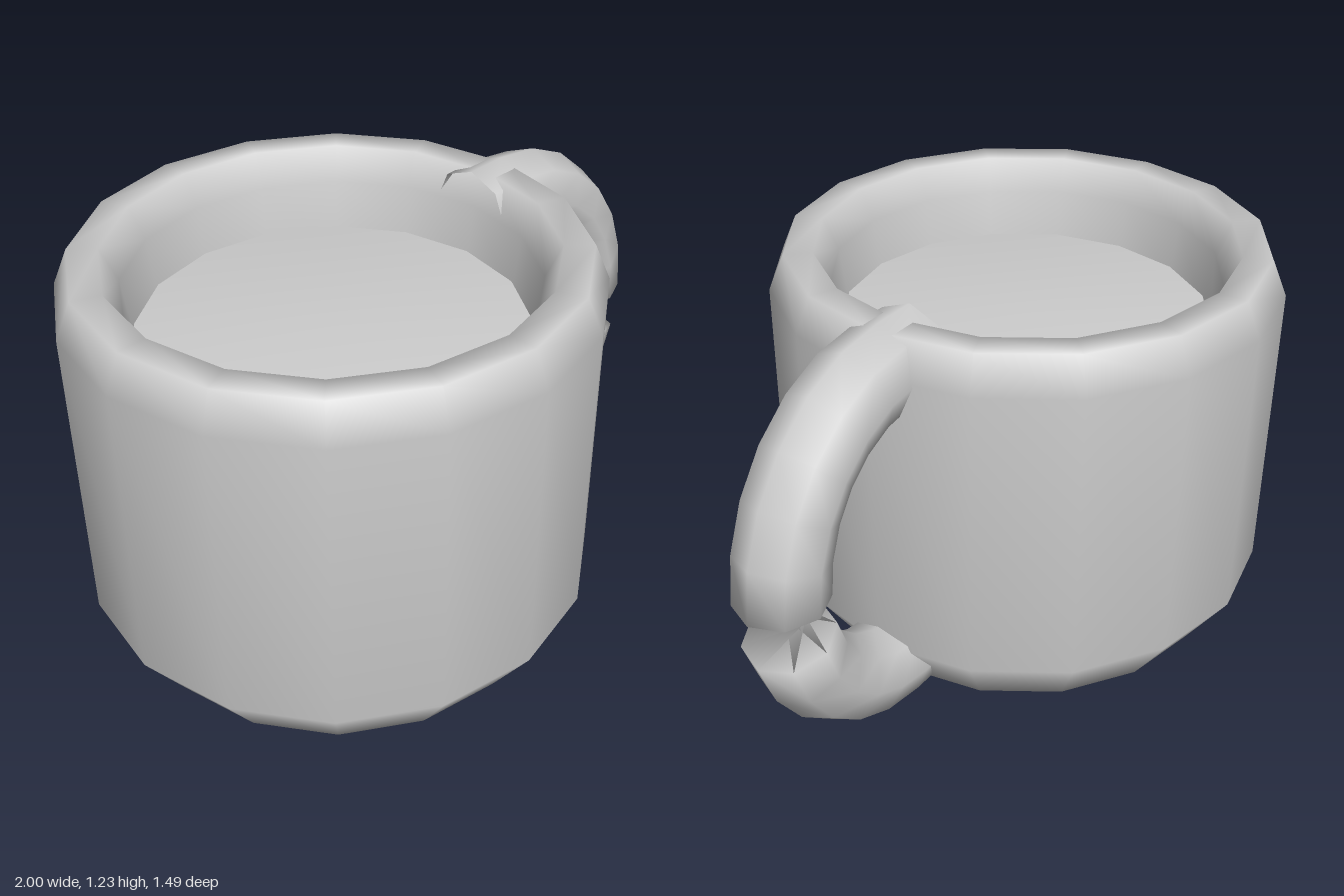
import * as THREE from 'three';

const CX = -0.255; // axis of the cup
const SIDES = 16;

function lathe(name, profile, material) {
  const points = profile.map(([r, y]) => new THREE.Vector2(r, y));
  const mesh = new THREE.Mesh(new THREE.LatheGeometry(points, SIDES), material);
  mesh.name = name;
  mesh.position.x = CX;
  return mesh;
}

// Octagonal tube along a half ellipse, with a half turn twist below its middle
function handleGeometry() {
  const N = 8, tube = 0.13, cx = 0.43, cy = 0.62, rx = 0.435, ry = 0.485;
  const rings = [{ x: 0.30, y: cy + ry, a: Math.PI / 2, shift: 0 }];
  for (let deg = 90; deg >= -90; deg -= 15) {
    const a = THREE.MathUtils.degToRad(deg);
    rings.push({ x: cx + rx * Math.cos(a), y: cy + ry * Math.sin(a), a, shift: deg < 0 ? N / 2 : 0 });
  }
  rings.push({ x: 0.30, y: cy - ry, a: -Math.PI / 2, shift: N / 2 });

  const positions = [], index = [];
  rings.forEach(({ x, y, a, shift }, k) => {
    for (let i = 0; i < N; i++) {
      const t = ((i + shift) / N) * Math.PI * 2;
      const d = tube * Math.cos(t);
      positions.push(x + d * Math.cos(a), y + d * Math.sin(a), tube * Math.sin(t));
      if (k === 0) continue;
      const j = (i + 1) % N, p = (k - 1) * N, q = k * N;
      index.push(p + i, q + i, p + j, p + j, q + i, q + j);
    }
  });
  // Make the faces point out of the tube
  for (let i = 0; i < index.length; i += 3) {
    [index[i + 1], index[i + 2]] = [index[i + 2], index[i + 1]];
  }
  const geometry = new THREE.BufferGeometry();
  geometry.setAttribute('position', new THREE.Float32BufferAttribute(positions, 3));
  geometry.setIndex(index);
  geometry.computeVertexNormals();
  return geometry;
}

export function createModel() {
  const group = new THREE.Group();
  group.name = 'mug';
  const grey = new THREE.MeshStandardMaterial({ color: 0xcccccc, side: THREE.DoubleSide });
  grey.name = 'light grey';

  // Outer wall, rounded rim and inner wall
  group.add(lathe('cup', [
    [0, 0.025], [0.62, 0.025], [0.745, 0.21], [0.745, 1.11], [0.70, 1.215],
    [0.615, 1.215], [0.57, 1.12], [0.545, 0.93],
  ], grey));

  // Filling, with a softly shaded surface
  group.add(lathe('filling', [[0.545, 0.9], [0.545, 0.98], [0, 0.98]], grey));

  const handle = new THREE.Mesh(handleGeometry(), grey);
  handle.name = 'handle';
  group.add(handle);
  return group;
}
